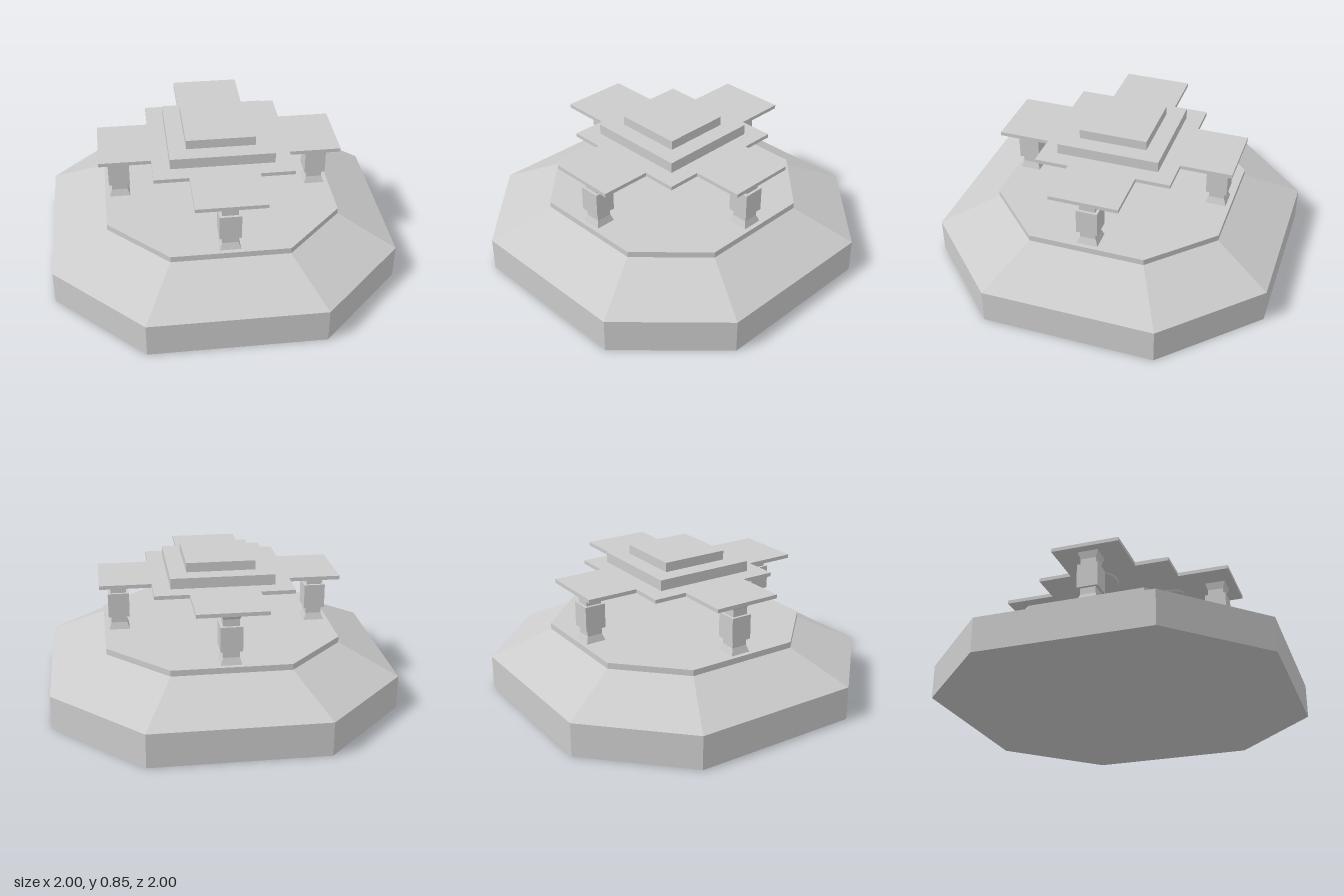
import * as THREE from 'three';

const material = new THREE.MeshStandardMaterial({ color: 0xcccccc, flatShading: true });

function addMesh(parent, name, geometry, x = 0, y = 0, z = 0) {
  const mesh = new THREE.Mesh(geometry, material);
  mesh.name = name;
  mesh.position.set(x, y, z);
  parent.add(mesh);
  return mesh;
}

// Stacks scaled copies of a convex footprint ([x, z] corners) at [y, scale] levels, capped at both ends.
function loft(footprint, levels) {
  const n = footprint.length;
  const positions = [];
  const point = (level, i) => {
    const [y, s] = levels[level];
    const [x, z] = footprint[i % n];
    return [x * s, y, z * s];
  };
  const triangle = (a, b, c) => positions.push(...a, ...b, ...c);
  for (let l = 0; l < levels.length - 1; l++) {
    for (let i = 0; i < n; i++) {
      const a = point(l, i), b = point(l, i + 1), c = point(l + 1, i + 1), d = point(l + 1, i);
      triangle(a, b, c);
      triangle(a, c, d);
    }
  }
  const top = levels.length - 1;
  for (let i = 1; i < n - 1; i++) {
    triangle(point(0, 0), point(0, i + 1), point(0, i));
    triangle(point(top, 0), point(top, i), point(top, i + 1));
  }
  const geometry = new THREE.BufferGeometry();
  geometry.setAttribute('position', new THREE.Float32BufferAttribute(positions, 3));
  geometry.computeVertexNormals();
  return geometry;
}

// Corners run from +z towards +x so that the walls face outwards.
const octagon = [[-0.5, 1], [0.5, 1], [1, 0.5], [1, -0.5], [0.5, -1], [-0.5, -1], [-1, -0.5], [-1, 0.5]];
const square = [[-1, 1], [1, 1], [1, -1], [-1, -1]];

// Plus-shaped roof slab with a wider square middle.
function crossSlab(arm, half, middle, thickness) {
  const quarter = [[arm, -half], [arm, half], [middle, half], [middle, middle], [half, middle]];
  const points = [];
  for (let k = 0; k < 4; k++) {
    const c = Math.round(Math.cos(k * Math.PI / 2)), s = Math.round(Math.sin(k * Math.PI / 2));
    for (const [x, y] of quarter) points.push(new THREE.Vector2(x * c - y * s, x * s + y * c));
  }
  return new THREE.ExtrudeGeometry(new THREE.Shape(points), { depth: thickness, bevelEnabled: false })
    .rotateX(-Math.PI / 2);
}

export function createModel() {
  const model = new THREE.Group();
  model.name = 'pavilion';

  // Stepped octagonal base with a sloping shoulder
  addMesh(model, 'base', loft(octagon, [[0, 1], [0.2, 1], [0.365, 0.675], [0.4, 0.675]]));

  // Four square columns with flared feet and capitals, one per side
  const columnShape = loft(square, [
    [0.4, 0.06], [0.44, 0.046], [0.48, 0.046], [0.48, 0.062],
    [0.625, 0.062], [0.625, 0.046], [0.665, 0.046], [0.707, 0.06],
  ]);
  // Shallow oval pads under the roof, inward of each column
  const padShape = new THREE.CylinderGeometry(0.095, 0.082, 0.014, 24).scale(1, 1, 0.6);
  for (let k = 0; k < 4; k++) {
    const side = new THREE.Group();
    side.name = 'columnSide' + (k + 1);
    side.rotation.y = k * Math.PI / 2;
    addMesh(side, 'column', columnShape, 0.588);
    addMesh(side, 'ceilingPad', padShape, 0.293, 0.702);
    model.add(side);
  }

  // Roof slab and its two stacked tiers
  addMesh(model, 'roofSlab', crossSlab(0.7, 0.2, 0.4, 0.022), 0, 0.706, 0);
  addMesh(model, 'lowerRoofTier', new THREE.BoxGeometry(0.6, 0.062, 0.6), 0, 0.759, 0);
  addMesh(model, 'upperRoofTier', new THREE.BoxGeometry(0.4, 0.055, 0.4), 0, 0.8175, 0);

  return model;
}
